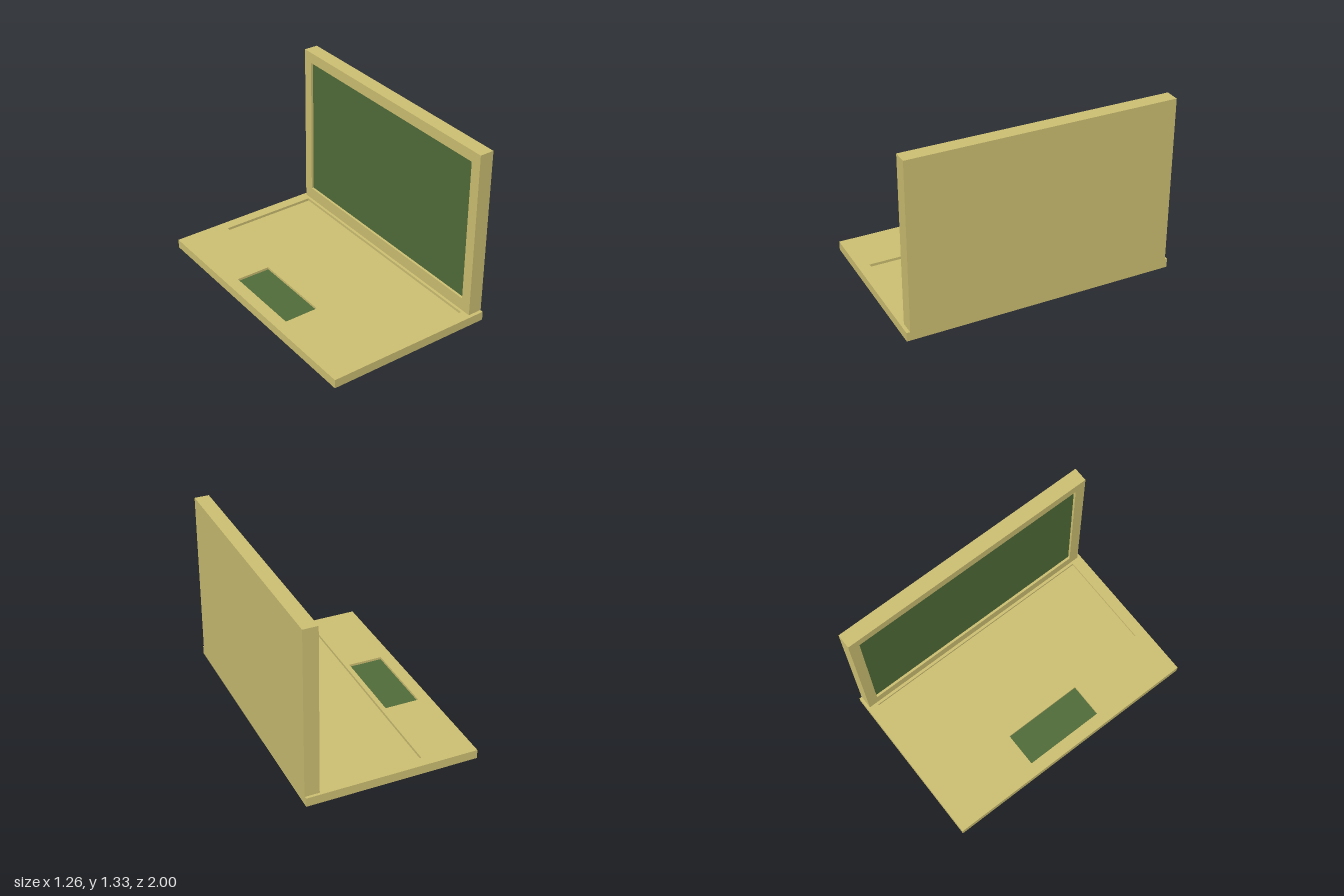
import * as THREE from 'three';

const RECESS = 0.02; // depth of every sunken area

const shellMaterial = new THREE.MeshStandardMaterial({ color: 0xcfc173 });
const greenMaterial = new THREE.MeshStandardMaterial({ color: 0x526d3a });

function mesh(name, geometry, material) {
  const m = new THREE.Mesh(geometry, material);
  m.name = name;
  return m;
}

// Traces a rectangle [x0, x1, y0, y1] on a Shape or Path.
function rectangle(path, [x0, x1, y0, y1]) {
  path.moveTo(x0, y0);
  path.lineTo(x1, y0);
  path.lineTo(x1, y1);
  path.lineTo(x0, y1);
  path.closePath();
  return path;
}

// Plate lying in xy, from z = 0 to z = thickness, with pockets sunk into its +z face.
// A pocket marked green gets a coloured floor panel.
function pocketedPlate(name, outline, thickness, pockets) {
  const group = new THREE.Group();
  group.name = name;
  const [x0, x1, y0, y1] = outline;
  const floorZ = thickness - RECESS;

  const backing = new THREE.BoxGeometry(x1 - x0, y1 - y0, floorZ);
  backing.translate((x0 + x1) / 2, (y0 + y1) / 2, floorZ / 2);
  group.add(mesh(name + 'Backing', backing, shellMaterial));

  const shape = rectangle(new THREE.Shape(), outline);
  for (const p of pockets) shape.holes.push(rectangle(new THREE.Path(), p.rect));
  const rim = new THREE.ExtrudeGeometry(shape, { depth: RECESS, bevelEnabled: false });
  rim.translate(0, 0, floorZ);
  group.add(mesh(name + 'Frame', rim, shellMaterial));

  for (const p of pockets.filter((q) => q.green)) {
    const [a, b, c, d] = p.rect;
    const panel = new THREE.BoxGeometry(b - a, d - c, 0.002);
    panel.translate((a + b) / 2, (c + d) / 2, floorZ + 0.001);
    group.add(mesh(p.name, panel, greenMaterial));
  }
  return group;
}

export function createModel() {
  const model = new THREE.Group();
  model.name = 'laptop';

  // Base: local y becomes -z, local z becomes y
  const base = pocketedPlate('base', [-0.63, 0.627, -1, 1], 0.067, [
    { name: 'keyboardWell', rect: [-0.245, 0.503, -0.915, 0.92] },
    { name: 'touchpad', rect: [-0.54, -0.281, -0.305, 0.308], green: true },
  ]);
  base.rotation.x = -Math.PI / 2;
  model.add(base);

  // Lid: upright, local x becomes z, local z becomes -x (screen faces the keyboard)
  const lid = pocketedPlate('lid', [-0.98, 0.975, 0, 1.26], 0.107, [
    { name: 'screen', rect: [-0.903, 0.895, 0.095, 1.178], green: true },
  ]);
  lid.rotation.y = -Math.PI / 2;
  lid.position.set(0.63, 0.067, 0);
  model.add(lid);

  return model;
}
